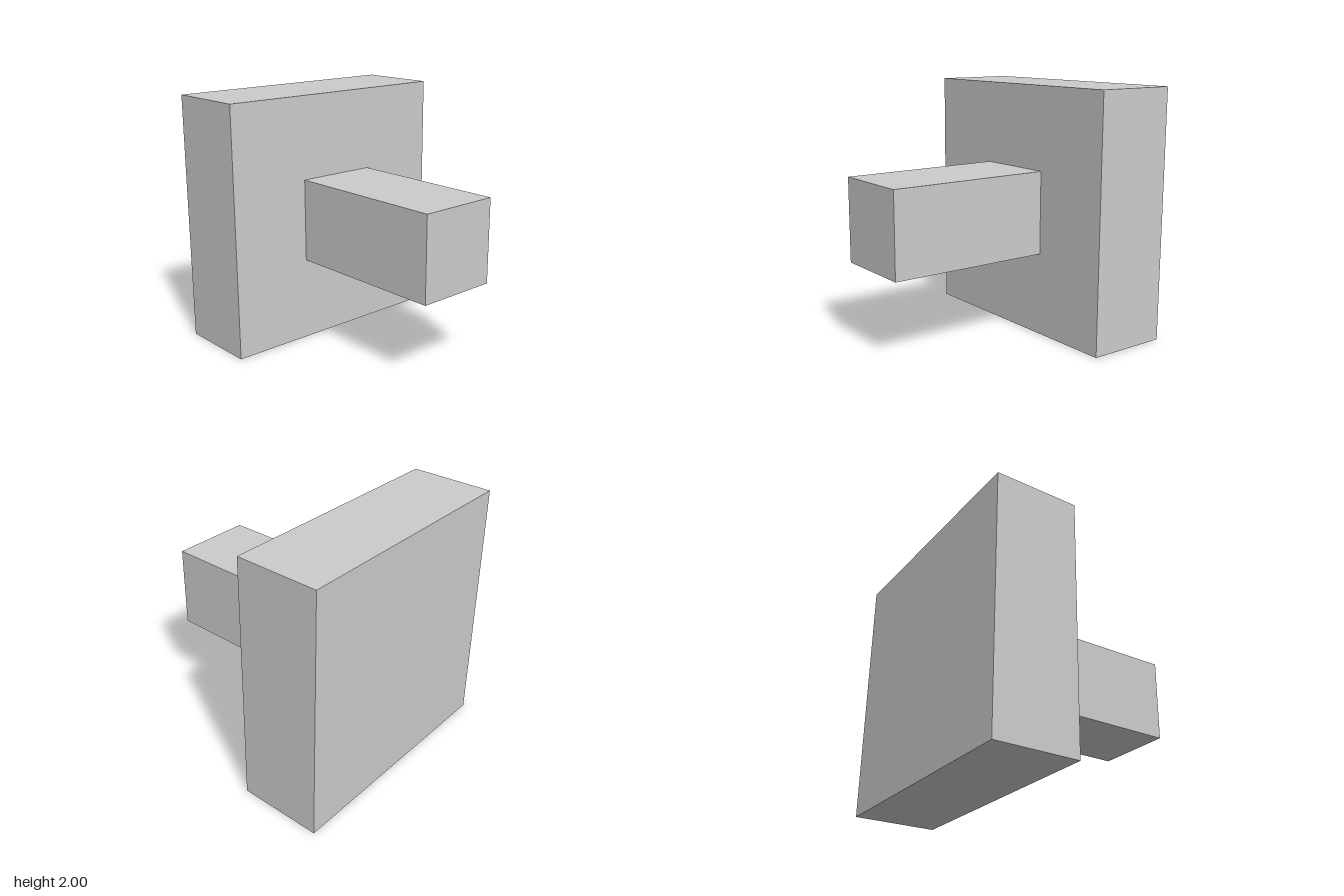
import * as THREE from 'three';

const UNIT = 2 / 3; // plate thickness and post width

function box(name, w, h, d, z, material) {
  const mesh = new THREE.Mesh(new THREE.BoxGeometry(w, h, d), material);
  mesh.name = name;
  mesh.position.set(0, 1, z);
  return mesh;
}

export function createModel() {
  const group = new THREE.Group();
  group.name = 'plateWithPost';
  const material = new THREE.MeshStandardMaterial({ color: 0xcccccc, flatShading: true });

  // Square plate at the back
  group.add(box('backPlate', 2, 2, UNIT, -1 + UNIT / 2, material));

  // Square post reaching forward from the middle of the plate
  group.add(box('post', UNIT, UNIT, 2 * UNIT, 1 - UNIT, material));

  return group;
}
